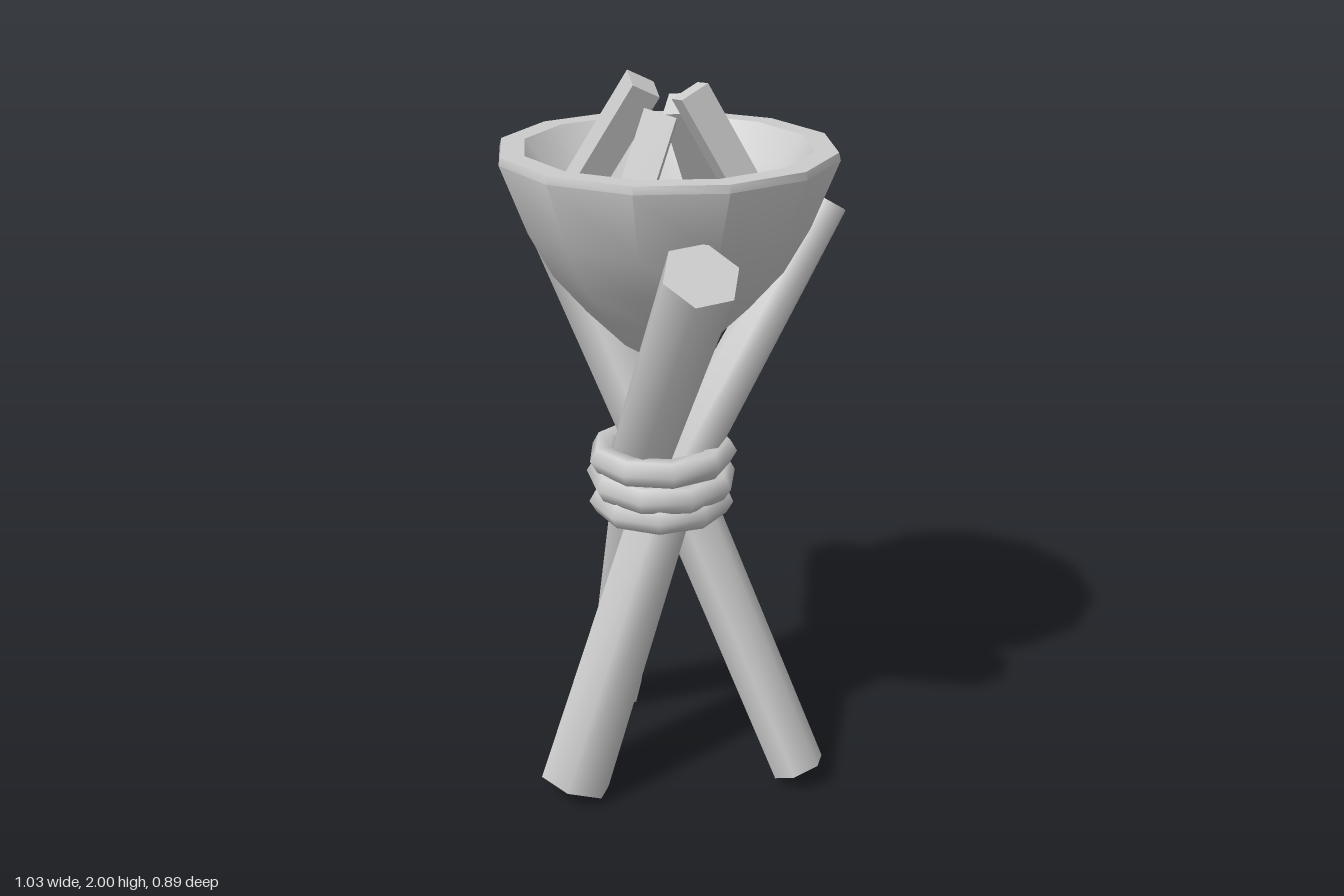
import * as THREE from 'three';
import { toCreasedNormals } from 'three/addons/utils/BufferGeometryUtils.js';

const V = (x, y, z) => new THREE.Vector3(x, y, z);
const grey = new THREE.MeshStandardMaterial({ color: 0xcccccc });

function add(group, name, geometry) {
  const mesh = new THREE.Mesh(geometry, grey);
  mesh.name = name;
  group.add(mesh);
  return mesh;
}

// Six-sided pole lofted through path points given bottom to top as [x, y, z, radius]
function poleGeometry(path, sides = 6) {
  const pts = path.map(p => V(p[0], p[1], p[2]));
  const last = pts.length - 1;
  const pos = [], idx = [];
  pts.forEach((p, i) => {
    const t = pts[Math.min(i + 1, last)].clone().sub(pts[Math.max(i - 1, 0)]).normalize();
    const u = V(1, 0, 0).addScaledVector(t, -t.x).normalize();
    const v = t.clone().cross(u);
    for (let j = 0; j < sides; j++) {
      const a = (j / sides) * Math.PI * 2;
      const q = p.clone().addScaledVector(u, path[i][3] * Math.cos(a)).addScaledVector(v, path[i][3] * Math.sin(a));
      pos.push(q.x, q.y, q.z);
    }
  });
  for (let i = 0; i < last; i++) {
    for (let j = 0; j < sides; j++) {
      const k = (j + 1) % sides;
      const a = i * sides + j, b = i * sides + k, c = a + sides, d = b + sides;
      idx.push(a, b, d, a, d, c);
    }
  }
  // end caps
  for (let j = 1; j < sides - 1; j++) {
    idx.push(0, j + 1, j);
    idx.push(last * sides, last * sides + j, last * sides + j + 1);
  }
  const g = new THREE.BufferGeometry();
  g.setAttribute('position', new THREE.Float32BufferAttribute(pos, 3));
  g.setIndex(idx);
  return toCreasedNormals(g, 1.15);
}

export function createModel() {
  const model = new THREE.Group();
  model.name = 'tripodBrazier';

  // Three crossed poles, slightly bent at the binding
  const poles = {
    poleLeftTop: [[-0.27, 0.03, -0.14, 0.088], [-0.04, 0.78, 0, 0.09], [0.03, 1.0, 0.06, 0.092], [0.41, 1.6, 0.29, 0.1]],
    poleRightTop: [[0.44, 0.04, -0.14, 0.076], [0.08, 0.78, -0.07, 0.08], [-0.03, 1.0, -0.03, 0.088], [-0.435, 1.66, -0.035, 0.104]],
    poleBackTop: [[0, 0.03, 0.325, 0.103], [0.08, 0.78, 0.06, 0.09], [0.12, 1.0, -0.05, 0.08], [0.28, 1.63, -0.39, 0.068]],
  };
  for (const [name, path] of Object.entries(poles)) add(model, name, poleGeometry(path));

  // Rope binding: three stacked rings
  const binding = new THREE.Group();
  binding.name = 'ropeBinding';
  [[0.955, 0.167, 0.03], [0.885, 0.17, -0.02], [0.82, 0.162, 0.02]].forEach(([y, r, tilt], i) => {
    const g = new THREE.TorusGeometry(r, 0.04, 6, 9);
    g.rotateX(Math.PI / 2).rotateY(i * 0.25).rotateZ(tilt);
    add(binding, 'ropeRing', g).position.set(0.04, y, 0);
  });
  model.add(binding);

  // Bowl with a thick rim and shallow inside
  const profile = [
    [0, 1.28], [0.115, 1.28], [0.22, 1.385], [0.31, 1.49], [0.375, 1.61], [0.445, 1.79],
    [0.44, 1.81], [0.378, 1.81], [0.32, 1.74], [0.22, 1.67], [0.11, 1.63], [0, 1.62],
  ].map(p => new THREE.Vector2(...p));
  const bowl = add(model, 'bowl', toCreasedNormals(new THREE.LatheGeometry(profile, 12), 0.7));
  bowl.position.x = 0.055;

  // Firewood leaning together: base, tip, roll
  const firewood = new THREE.Group();
  firewood.name = 'firewood';
  [
    [V(-0.2, 1.62, 0.11), V(0.0, 1.965, 0.03), 0.6],
    [V(0.26, 1.62, -0.14), V(0.12, 1.955, -0.01), 0.3],
    [V(0.02, 1.62, -0.22), V(0.06, 1.91, -0.05), 0.2],
    [V(0.08, 1.62, 0.2), V(0.075, 1.895, 0.05), 0.6],
  ].forEach(([base, tip, roll]) => {
    const dir = tip.clone().sub(base);
    const stick = add(firewood, 'stick', new THREE.BoxGeometry(0.085, dir.length(), 0.08));
    stick.position.copy(base).add(tip).multiplyScalar(0.5);
    // face one side outward before leaning the stick, then roll it about its length
    stick.quaternion.setFromUnitVectors(V(0, 1, 0), dir.normalize());
    stick.rotateY(Math.atan2(-dir.x, -dir.z) + roll);
  });
  model.add(firewood);

  return model;
}
